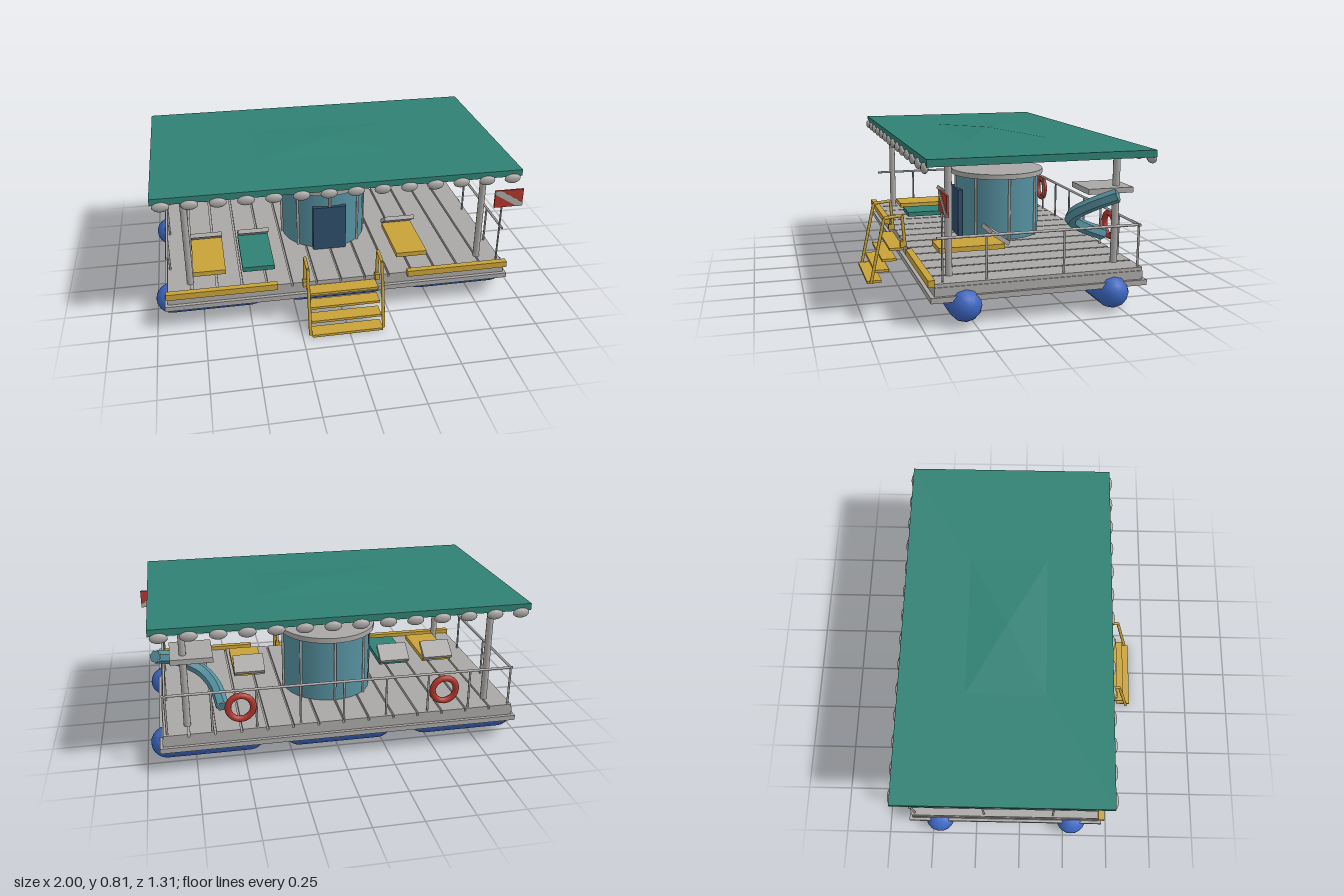
import * as THREE from 'three';

const mat = (name, color) => Object.assign(new THREE.MeshStandardMaterial({ color }), { name });

export function createModel() {
  const grey = mat('grey metal', 0xaaa8a6);
  const teal = mat('canopy green', 0x2f8073);
  const gold = mat('yellow trim', 0xc8a238);
  const blue = mat('float blue', 0x3c66c0);
  const cabinBlue = mat('cabin blue', 0x55909f);
  const doorBlue = mat('door navy', 0x2d4d6a);
  const red = mat('safety red', 0xb0362c);
  const slideBlue = cabinBlue.clone();
  Object.assign(slideBlue, { name: 'slide blue', flatShading: true });

  const model = new THREE.Group();
  const CX = -0.01, CZ = -0.08, DECK = 0.215;

  const add = (name, geo, m, x = 0, y = 0, z = 0) => {
    const mesh = new THREE.Mesh(geo, m);
    mesh.name = name;
    mesh.position.set(x, y, z);
    model.add(mesh);
    return mesh;
  };
  // Box given by its min and max on each axis
  const box = (name, m, [x0, x1], [y0, y1], [z0, z1]) =>
    add(name, new THREE.BoxGeometry(x1 - x0, y1 - y0, z1 - z0), m,
      (x0 + x1) / 2, (y0 + y1) / 2, (z0 + z1) / 2);
  // Round bar between two points
  const bar = (name, m, a, b, r, sides = 8) => {
    const p = new THREE.Vector3(...a), q = new THREE.Vector3(...b);
    const d = q.clone().sub(p);
    const mesh = add(name, new THREE.CylinderGeometry(r, r, d.length(), sides), m);
    mesh.position.copy(p).add(q).multiplyScalar(0.5);
    mesh.quaternion.setFromUnitVectors(new THREE.Vector3(0, 1, 0), d.normalize());
    return mesh;
  };

  // Floats: two rows of three
  for (const z of [0.293, -0.453]) {
    for (const x of [-0.703, -0.012, 0.68]) {
      add('float', new THREE.CapsuleGeometry(0.082, 0.43, 5, 12), blue, x, 0.1, z).rotation.z = Math.PI / 2;
    }
  }

  // Deck: lower frame, slab and planks running front to back
  box('deckFrame', grey, [-0.95, 0.93], [0.128, 0.155], [-0.623, 0.463]);
  box('deckSlab', grey, [-0.935, 0.915], [0.155, 0.198], [-0.605, 0.443]);
  const planks = 14, pitch = 1.85 / planks;
  for (let i = 0; i < planks; i++) {
    const x = -0.935 + i * pitch;
    box('plank', grey, [x + 0.005, x + pitch - 0.005], [0.198, DECK], [-0.605, 0.443]);
  }

  // Yellow edge boards either side of the ladder
  for (const xs of [[-0.94, -0.355], [0.355, 0.92]]) box('edgeBoard', gold, xs, [0.203, 0.237], [0.44, 0.474]);

  // Loungers with tilted headrests
  for (const [x, m] of [[-0.705, gold], [-0.44, teal], [0.415, gold]]) {
    box('lounger', m, [x - 0.087, x + 0.087], [0.241, 0.267], [-0.025, 0.327]);
    add('headrest', new THREE.BoxGeometry(0.174, 0.024, 0.118), grey, x, 0.3, 0).rotation.x = -0.6;
  }

  // Cabin with ribs, cap and door
  const cabinZ = -0.133, cabinR = 0.24;
  add('cabinWall', new THREE.CylinderGeometry(cabinR, cabinR, 0.345, 28), cabinBlue, CX, DECK + 0.172, cabinZ);
  add('cabinCap', new THREE.CylinderGeometry(0.264, 0.264, 0.028, 28), grey, CX, 0.572, cabinZ);
  for (let i = 0; i < 8; i++) {
    const a = i * Math.PI / 4, x = CX + 0.245 * Math.sin(a), z = cabinZ + 0.245 * Math.cos(a);
    bar('cabinRib', grey, [x, DECK, z], [x, 0.56, z], 0.007, 6);
  }
  box('door', doorBlue, [-0.107, 0.081], [DECK, 0.48], [0.095, 0.121]);

  // Canopy: flat slab with a shallow peak
  box('canopy', teal, [-0.968, 0.944], [0.765, 0.8], [-0.64, 0.478]);
  const peak = new THREE.ConeGeometry(Math.SQRT2, 1, 4, 1, true).toNonIndexed();
  peak.rotateY(Math.PI / 4).scale(0.385, 0.019, 0.21).computeVertexNormals();
  add('canopyPeak', peak, teal, CX, 0.8095, CZ);

  // Scalloped fringe on the front and back edges
  for (const z of [0.478, -0.639]) {
    for (let i = 0; i < 14; i++) {
      add('scallop', new THREE.SphereGeometry(1, 12, 8), grey, -0.915 + i * 0.139, 0.754, z).scale.set(0.044, 0.026, 0.017);
    }
  }

  // Canopy posts
  for (const x of [-0.81, 0.787]) {
    for (const z of [0.345, -0.507]) bar('canopyPost', grey, [x, DECK, z], [x, 0.77, z], 0.018, 12);
  }

  // Railings on the back and both sides
  const railY = 0.426, backZ = -0.588;
  const rails = [-0.915, 0.89];
  bar('backRail', grey, [-0.925, railY, backZ], [0.905, railY, backZ], 0.007);
  for (let i = 0; i < 9; i++) {
    const x = rails[0] + i * (rails[1] - rails[0]) / 8;
    bar('railPost', grey, [x, DECK, backZ], [x, railY, backZ], 0.006);
  }
  for (const x of rails) {
    bar('sideRail', grey, [x, railY, -0.595], [x, railY, 0.425], 0.007);
    for (const z of [0.187, -0.2]) bar('railPost', grey, [x, DECK, z], [x, railY, z], 0.006);
  }

  // Life rings on the back rail
  for (const x of [-0.545, 0.52]) add('lifeRing', new THREE.TorusGeometry(0.064, 0.017, 8, 20), red, x, 0.34, -0.605);

  // Flag with a diagonal stripe on both faces
  bar('flagPole', grey, [0.885, DECK, 0.398], [0.885, 0.6, 0.398], 0.005, 6);
  box('flag', red, [0.84, 1.0], [0.545, 0.645], [0.393, 0.403]);
  const stripe = new THREE.Shape([[0.84, 0.645], [0.84, 0.625], [0.968, 0.545], [1.0, 0.545], [1.0, 0.565], [0.872, 0.645]]
    .map(([x, y]) => new THREE.Vector2(x, y)));
  add('flagStripe', new THREE.ExtrudeGeometry(stripe, { depth: 0.014, bevelEnabled: false }), grey, 0, 0, 0.391);

  // Slide platform and half-turn slide
  box('slidePlatform', grey, [0.64, 0.85], [0.58, 0.607], [-0.57, -0.335]);
  const path = new THREE.CatmullRomCurve3([
    [0.92, 0.585, -0.455], [0.86, 0.54, -0.37], [0.775, 0.48, -0.305],
    [0.69, 0.425, -0.315], [0.63, 0.37, -0.4], [0.605, 0.315, -0.53],
  ].map(p => new THREE.Vector3(...p)));
  add('slide', new THREE.TubeGeometry(path, 24, 0.034, 6), slideBlue);
  for (const [t, s] of [[0, -1], [1, 1]]) {
    const cap = add('slideEnd', new THREE.CircleGeometry(0.032, 6), slideBlue);
    cap.position.copy(path.getPoint(t));
    cap.lookAt(cap.position.clone().addScaledVector(path.getTangent(t), s));
  }

  // Boarding ladder: bent handrails and four treads
  for (const x of [-0.208, 0.186]) {
    const pts = [[x, 0.01, 0.637], [x, 0.368, 0.558], [x, 0.378, 0.46], [x, 0.21, 0.447]];
    for (let i = 0; i < 3; i++) bar('ladderRail', gold, pts[i], pts[i + 1], 0.009);
    box('ladderFoot', gold, [x - 0.012, x + 0.012], [0.203, 0.237], [0.44, 0.474]);
  }
  for (let i = 0; i < 4; i++) {
    const y = 0.013 + i * 0.0585, z = 0.618 - i * 0.0425;
    box('ladderTread', gold, [-0.2, 0.178], [y - 0.007, y + 0.007], [z - 0.04, z + 0.04]);
  }

  return model;
}
